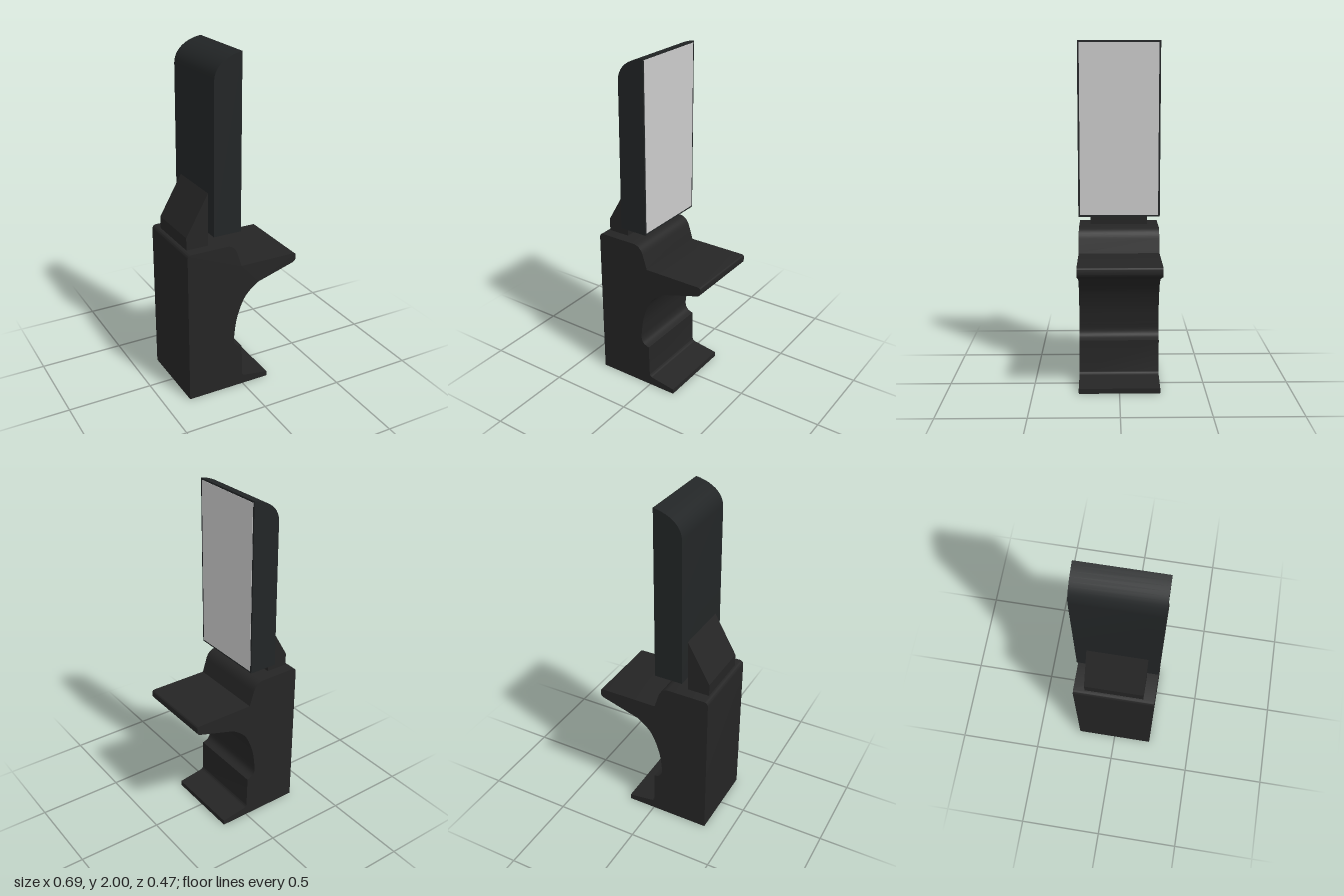
import * as THREE from 'three';
import { toCreasedNormals } from 'three/addons/utils/BufferGeometryUtils.js';

const WIDTH = 0.47;

// Extrudes a side profile (x, y) along z, centred on z = 0
function slab(name, shape, depth, material) {
  const geo = new THREE.ExtrudeGeometry(shape, { depth, bevelEnabled: false, curveSegments: 10 });
  geo.translate(0, 0, -depth / 2);
  const mesh = new THREE.Mesh(toCreasedNormals(geo, 0.5), material);
  mesh.name = name;
  return mesh;
}

export function createModel() {
  const group = new THREE.Group();
  group.name = 'kiosk';
  const bodyMat = new THREE.MeshStandardMaterial({ color: 0x252525 });
  const housingMat = new THREE.MeshStandardMaterial({ color: 0x222526 });
  const screenMat = new THREE.MeshStandardMaterial({ color: 0xcccccc });

  // Cabinet with foot plate, knee recess and cantilevered shelf
  const body = new THREE.Shape();
  body.moveTo(-0.348, 0);
  body.lineTo(0.167, 0);
  body.lineTo(0.167, 0.03);
  body.lineTo(0.02, 0.053);
  body.quadraticCurveTo(0, 0.055, -0.003, 0.07);
  body.lineTo(-0.008, 0.262);
  body.bezierCurveTo(-0.04, 0.272, -0.062, 0.28, -0.06, 0.33);
  body.splineThru([[-0.043, 0.45], [-0.003, 0.56], [0.04, 0.617], [0.1, 0.662]]
    .map(([x, y]) => new THREE.Vector2(x, y)));
  body.lineTo(0.325, 0.73);
  body.quadraticCurveTo(0.347, 0.737, 0.347, 0.755);
  body.lineTo(0.347, 0.772);
  body.quadraticCurveTo(0.347, 0.788, 0.33, 0.788);
  body.lineTo(-0.014, 0.788);
  body.lineTo(-0.04, 0.87);
  body.quadraticCurveTo(-0.056, 0.921, -0.1, 0.927);
  body.lineTo(-0.325, 0.927);
  body.quadraticCurveTo(-0.348, 0.925, -0.348, 0.9);
  body.closePath();
  group.add(slab('cabinet', body, WIDTH, bodyMat));

  // Wedge bracket behind the display
  const bracket = new THREE.Shape();
  bracket.moveTo(-0.323, 0.92);
  bracket.lineTo(-0.192, 0.92);
  bracket.lineTo(-0.188, 1.237);
  bracket.lineTo(-0.323, 1.0);
  bracket.closePath();
  group.add(slab('bracket', bracket, 0.34, bodyMat));

  // Display housing with a rounded top at the back
  const housing = new THREE.Shape();
  housing.moveTo(-0.188, 1.003);
  housing.lineTo(-0.02, 1.003);
  housing.lineTo(-0.02, 2);
  housing.bezierCurveTo(-0.11, 1.985, -0.178, 1.94, -0.182, 1.865);
  housing.closePath();
  group.add(slab('displayHousing', housing, WIDTH, housingMat));

  // Screen panel facing +x, inside a narrow frame
  const screen = new THREE.Mesh(new THREE.BoxGeometry(0.006, 0.977, WIDTH - 0.02), screenMat);
  screen.name = 'screen';
  screen.position.set(-0.021, 1.5015, 0);
  group.add(screen);

  return group;
}
